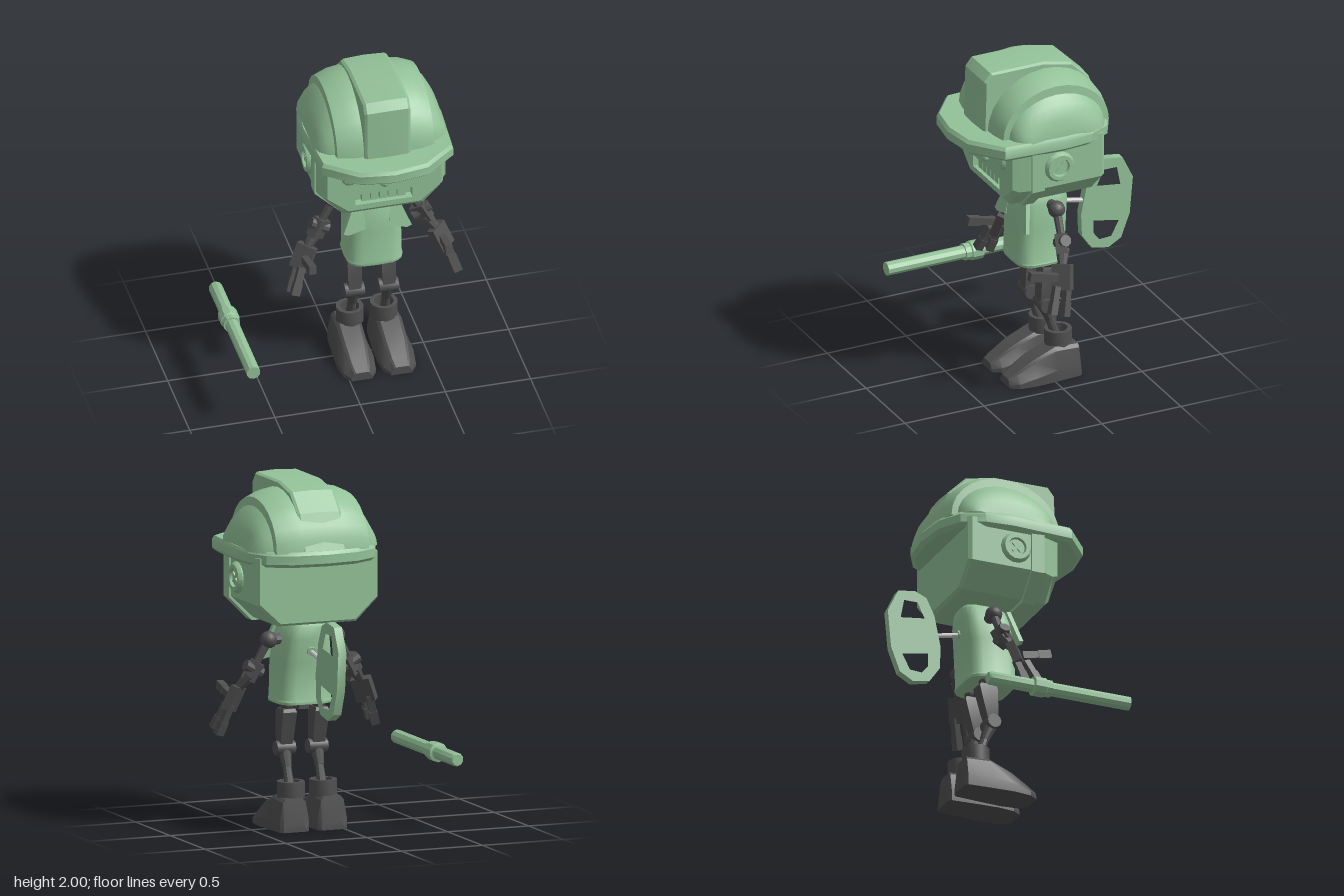
import * as THREE from 'three';
import { toCreasedNormals } from 'three/addons/utils/BufferGeometryUtils.js';

const green = new THREE.MeshStandardMaterial({ color: 0x93c298 });
const dark = new THREE.MeshStandardMaterial({ color: 0x505050 });
const grey = new THREE.MeshStandardMaterial({ color: 0xcccccc });
const V = (x, y, z) => new THREE.Vector3(x, y, z);
const UP = V(0, 1, 0);

function add(parent, name, geo, mat, x = 0, y = 0, z = 0, crease = 0.6) {
  const mesh = new THREE.Mesh(toCreasedNormals(geo, crease), mat);
  mesh.name = name;
  mesh.position.set(x, y, z);
  parent.add(mesh);
  return mesh;
}

// Skin through equal-sized closed rings, counterclockwise around the direction of travel
function loft(rings, capStart = true, capEnd = true) {
  const pos = [];
  const tri = (...pts) => pts.forEach(p => pos.push(p.x, p.y, p.z));
  const n = rings[0].length;
  for (let i = 0; i + 1 < rings.length; i++) {
    for (let j = 0; j < n; j++) {
      const k = (j + 1) % n, [r, s] = [rings[i], rings[i + 1]];
      tri(r[j], r[k], s[k]);
      tri(r[j], s[k], s[j]);
    }
  }
  const cap = (ring, flip) => {
    const c = ring.reduce((sum, p) => sum.add(p), V(0, 0, 0)).divideScalar(n);
    ring.forEach((p, j) => {
      const q = ring[(j + 1) % n];
      flip ? tri(c, q, p) : tri(c, p, q);
    });
  };
  if (capStart) cap(rings[0], true);
  if (capEnd) cap(rings[rings.length - 1], false);
  const geo = new THREE.BufferGeometry();
  geo.setAttribute('position', new THREE.Float32BufferAttribute(pos, 3));
  geo.computeVertexNormals();
  return geo;
}

// Place a geometry of unit height between two points
function between(parent, name, geo, mat, a, b) {
  const d = b.clone().sub(a), m = a.clone().add(b).multiplyScalar(0.5);
  geo.scale(1, d.length(), 1);
  const mesh = add(parent, name, geo, mat, m.x, m.y, m.z);
  mesh.quaternion.setFromUnitVectors(UP, d.normalize());
  return mesh;
}
const rod = (p, name, mat, a, b, r0, r1 = r0, sides = 10) =>
  between(p, name, new THREE.CylinderGeometry(r1, r0, 1, sides), mat, a, b);
const bar = (p, name, mat, a, b, w, d) => between(p, name, new THREE.BoxGeometry(w, 1, d), mat, a, b);
const shape = pts => new THREE.Shape(pts.map(p => new THREE.Vector2(...p)));

function buildHelmet(body) {
  const g = new THREE.Group();
  g.name = 'helmet';
  body.add(g);
  // Brim
  const half = [[0, 0.578], [0.2, 0.548], [0.385, 0.4], [0.41, 0.03], [0.395, -0.14], [0.335, -0.27], [0.2, -0.345], [0, -0.367]];
  const outline = half.concat(half.slice(1, -1).reverse().map(([x, z]) => [-x, z]));
  add(g, 'brim', loft([[1.55, 0.95], [1.57, 1], [1.62, 1], [1.64, 0.97]].map(([y, s]) =>
    outline.map(([x, z]) => V(x * s, y, 0.1 + (z - 0.1) * s)))), green);
  // Dome: arches at stations across the width, stepping down at the side panels
  const side = [[-0.39, 0.2, 0.015], [-0.37, 0.25, 0.11], [-0.33, 0.285, 0.19], [-0.29, 0.3, 0.23], [-0.285, 0.335, 0.28], [-0.21, 0.355, 0.315], [-0.13, 0.36, 0.33]];
  const stations = side.concat(side.slice().reverse().map(([x, r, h]) => [-x, r, h]));
  add(g, 'dome', loft(stations.map(([x, r, h]) => Array.from({ length: 15 }, (_, i) => {
    const t = Math.PI * i / 14;
    return V(x, 1.63 + h * Math.sin(t), 0.03 - r * Math.cos(t));
  }))), green);
  // Raised centre ridge
  const ridge = [[-0.35, 1.62], [-0.31, 1.72], [-0.26, 1.85], [-0.15, 1.96], [0.03, 2], [0.37, 2], [0.41, 1.95], [0.42, 1.62]];
  add(g, 'ridge', loft([[-0.135, 0.96], [-0.12, 0.985], [0, 1], [0.12, 0.985], [0.135, 0.96]].map(([x, s]) =>
    ridge.map(([z, y]) => V(x, 1.6 + (y - 1.6) * s, 0.03 + (z - 0.03) * s)))), green, 0, 0, 0, 0.25);
}

function buildHead(body) {
  const g = new THREE.Group();
  g.name = 'head';
  body.add(g);
  // Chamfered shell; each section is bottom half width, bottom y, side half width, chamfer y
  const section = (z, bx, by, sx, sy) =>
    [V(bx, by, z), V(sx, sy, z), V(sx, 1.6, z), V(-sx, 1.6, z), V(-sx, sy, z), V(-bx, by, z)];
  const front = section(0.33, 0.21, 1.235, 0.335, 1.34);
  add(g, 'headShell', loft([section(-0.235, 0.23, 1.215, 0.36, 1.335), section(-0.215, 0.24, 1.2, 0.375, 1.33),
    section(0.23, 0.24, 1.2, 0.375, 1.33), section(0.295, 0.235, 1.2, 0.35, 1.325), front], true, false), green, 0, 0, 0, 0.2);
  const face = shape(front.map(p => [p.x, p.y]));
  face.holes.push(shape([[-0.17, 1.27], [-0.17, 1.34], [0.165, 1.34], [0.165, 1.27]]));
  add(g, 'face', new THREE.ShapeGeometry(face), green, 0, 0, 0.33);
  // Mouth recess and teeth
  const inside = green.clone();
  inside.side = THREE.BackSide;
  add(g, 'mouth', new THREE.BoxGeometry(0.335, 0.07, 0.05), inside, -0.0025, 1.305, 0.305);
  for (let i = 0; i < 5; i++) add(g, 'tooth', new THREE.BoxGeometry(0.046, 0.052, 0.03), green, -0.106 + i * 0.052, 1.308, 0.303);
  // Nose, eyes, ears
  add(g, 'nose', new THREE.SphereGeometry(0.03, 8, 6), green, 0, 1.405, 0.33);
  for (const s of [-1, 1]) {
    add(g, 'eye', new THREE.SphereGeometry(0.048, 8, 6), green, s * 0.205, 1.463, 0.328).scale.z = 0.5;
    const ear = new THREE.Group();
    ear.name = 'ear';
    ear.position.set(s * 0.37, 1.45, 0.055);
    ear.rotation.z = -s * Math.PI / 2;
    g.add(ear);
    const rim = [[0.092, -0.02], [0.092, 0.012], [0.078, 0.032], [0.055, 0.032], [0.05, 0.015], [0, 0.015]];
    add(ear, 'earCap', new THREE.LatheGeometry(rim.map(p => new THREE.Vector2(...p)), 14), green);
    for (const a of [1, -1])
      add(ear, 'earCross', new THREE.BoxGeometry(0.075, 0.012, 0.014), green, 0, 0.018, 0).rotation.y = a * Math.PI / 4;
  }
  // Chin strap
  add(g, 'chinStrap', loft([0.15, 0.23].map(z => section(z, 0.245, 1.18, 0.385, 1.32))), green, 0, 0, 0, 0.2);
}

function buildTorso(body) {
  const g = new THREE.Group();
  g.name = 'torso';
  body.add(g);
  // Vest body: rounded rectangles stacked upward
  const pw = v => Math.sign(v) * Math.abs(v) ** 0.55;
  const levels = [[0.72, 0.165, -0.12, 0.18], [0.735, 0.168, -0.122, 0.183], [0.745, 0.163, -0.118, 0.18], [0.96, 0.16, -0.13, 0.175],
    [1.1, 0.14, -0.145, 0.16], [1.17, 0.12, -0.14, 0.13], [1.19, 0.1, -0.13, 0.11]];
  add(g, 'vest', loft(levels.map(([y, w, b, f]) => Array.from({ length: 20 }, (_, i) => {
    const t = Math.PI * 2 * i / 20;
    return V(w * pw(Math.cos(t)), y, (b + f) / 2 - (f - b) / 2 * pw(Math.sin(t)));
  }))), green);
  add(g, 'neckOpening', loft([0, 0.006].map(z => [V(-0.05, 0.09, z), V(0, 0, z), V(0.05, 0.09, z)])), dark, 0, 1.1, 0.158).rotation.x = -0.46;
  rod(g, 'neck', dark, V(0, 1.17, -0.01), V(0, 1.22, -0.01), 0.07);
  // Flared lapels over the shoulders
  for (const s of [-1, 1]) {
    const flap = shape([[0.07, 0.22], [0.115, 0.215], [0.2, 0], [0.17, -0.01], [0.07, 0.015]].map(([x, y]) => [x * s, y]));
    add(g, 'lapel', new THREE.ExtrudeGeometry(flap, { depth: 0.025, bevelEnabled: false }), green, 0, 0.96, 0.155).rotation.x = -0.2;
  }
  add(g, 'pelvis', new THREE.BoxGeometry(0.06, 0.06, 0.08), dark, 0, 0.71, 0.01);
  // Wind-up key
  rod(g, 'keySocket', green, V(0, 1.035, -0.11), V(0, 1.027, -0.145), 0.032, 0.026);
  rod(g, 'keyShaft', grey, V(0, 1.03, -0.12), V(0, 0.95, -0.5), 0.014);
  const key = shape([[0.345, 1.21], [0.415, 1.24], [0.52, 1.225], [0.585, 1.09], [0.565, 0.865], [0.51, 0.72],
    [0.43, 0.675], [0.325, 0.695], [0.262, 0.785], [0.257, 0.92], [0.295, 1.105]]);
  key.holes.push(shape([[0.4, 1.172], [0.484, 1.172], [0.505, 1.06], [0.357, 1.08]]),
    shape([[0.336, 0.865], [0.495, 0.833], [0.447, 0.743], [0.373, 0.738], [0.336, 0.785]]));
  const handle = new THREE.ExtrudeGeometry(key, { depth: 0.05, bevelEnabled: false });
  add(g, 'keyHandle', handle, green, -0.025).rotation.y = Math.PI / 2;
}

function buildArm(body, s) {
  const g = new THREE.Group();
  g.name = s > 0 ? 'leftArm' : 'rightArm';
  body.add(g);
  const P = (x, y, z) => V(s * x, y, z);
  const shoulder = P(0.21, 1.09, -0.01), elbow = P(0.3, 0.93, 0), wrist = P(0.375, 0.82, 0.035);
  rod(g, 'shoulderPin', dark, P(0.1, 1.09, -0.01), shoulder, 0.03);
  add(g, 'shoulderBall', new THREE.SphereGeometry(0.05, 12, 8), dark, ...shoulder);
  rod(g, 'upperArm', dark, shoulder, elbow, 0.026, 0.022, 8);
  bar(g, 'elbowBlock', dark, P(0.275, 0.965, -0.005), P(0.33, 0.865, 0.01), 0.085, 0.065);
  rod(g, 'elbowPin', dark, P(0.25, 0.9, 0), P(0.35, 0.955, 0), 0.034);
  rod(g, 'forearm', dark, P(0.32, 0.89, 0.005), wrist, 0.042, 0.026, 8);
  bar(g, 'palm', dark, P(0.375, 0.825, 0.035), P(0.43, 0.69, 0.06), 0.05, 0.115);
  // Two fingers and a forward thumb, each in two joints
  for (const [a, b, w] of [[P(0.425, 0.72, 0.095), P(0.48, 0.575, 0.15), 0.05],
    [P(0.43, 0.72, 0.03), P(0.485, 0.55, 0.075), 0.05], [P(0.405, 0.765, 0.08), P(0.4, 0.805, 0.255), 0.05]]) {
    const mid = a.clone().lerp(b, 0.55);
    bar(g, 'fingerBase', dark, a, mid, 0.036, w * 0.85);
    bar(g, 'fingerTip', dark, mid, b, 0.042, w);
  }
}

function buildLeg(body, s) {
  const g = new THREE.Group();
  g.name = s > 0 ? 'leftLeg' : 'rightLeg';
  g.position.x = s * 0.1;
  body.add(g);
  add(g, 'hipBall', new THREE.SphereGeometry(0.042, 10, 8), dark, 0, 0.715, -0.01);
  // Tapered thigh, jointed knee and shin
  const box = (y, w, z0, z1) => [V(w, y, z1), V(w, y, z0), V(-w, y, z0), V(-w, y, z1)];
  add(g, 'thigh', loft([box(0.47, 0.034, -0.01, 0.055), box(0.52, 0.04, -0.025, 0.052), box(0.67, 0.043, -0.065, 0.045), box(0.69, 0.036, -0.055, 0.035)]), dark);
  rod(g, 'kneePin', dark, V(-0.057, 0.457, 0.02), V(0.057, 0.457, 0.02), 0.042, 0.042, 12);
  rod(g, 'upperShin', dark, V(0, 0.45, 0.02), V(0, 0.35, -0.02), 0.04, 0.027);
  rod(g, 'lowerShin', dark, V(0, 0.36, -0.015), V(0, 0.2, -0.07), 0.024, 0.03);
  // Boot cuff and wedge-shaped boot
  const cuff = [[0.08, 0.185], [0.08, 0.28], [0.056, 0.28], [0.056, 0.21], [0, 0.21]];
  add(g, 'bootCuff', new THREE.LatheGeometry(cuff.map(p => new THREE.Vector2(...p)), 12), dark, 0, 0, -0.073);
  const boot = [[-0.182, 0.07, 0.055, 0.04], [-0.165, 0.09, 0.07, 0.19], [-0.02, 0.1, 0.074, 0.198],
    [0.12, 0.107, 0.07, 0.14], [0.22, 0.095, 0.058, 0.08], [0.27, 0.06, 0.045, 0.05]];
  add(g, 'boot', loft(boot.map(([z, b, t, h]) => [V(-b, 0, z), V(b, 0, z), V(b, h * 0.35, z), V(t, h * 0.9, z),
    V(t * 0.75, h, z), V(-t * 0.75, h, z), V(-t, h * 0.9, z), V(-b, h * 0.35, z)])), dark, s * 0.017, 0, 0, 0.35);
}

export function createModel() {
  const model = new THREE.Group();
  model.name = 'robotWithBaton';
  const body = new THREE.Group();
  body.name = 'robot';
  body.position.x = 0.187;
  model.add(body);
  buildHelmet(body);
  buildHead(body);
  buildTorso(body);
  for (const s of [-1, 1]) {
    buildArm(body, s);
    buildLeg(body, s);
  }
  // Baton lying beside the robot
  const profile = [[0, -0.318], [0.033, -0.318], [0.04, -0.305], [0.04, -0.045], [0.057, -0.04], [0.057, 0.03],
    [0.05, 0.035], [0.05, 0.07], [0.04, 0.07], [0.04, 0.558], [0, 0.558]];
  add(model, 'baton', new THREE.LatheGeometry(profile.map(p => new THREE.Vector2(...p)), 10), green, -0.64, 0.375, 0).rotation.x = Math.PI / 2;
  return model;
}
